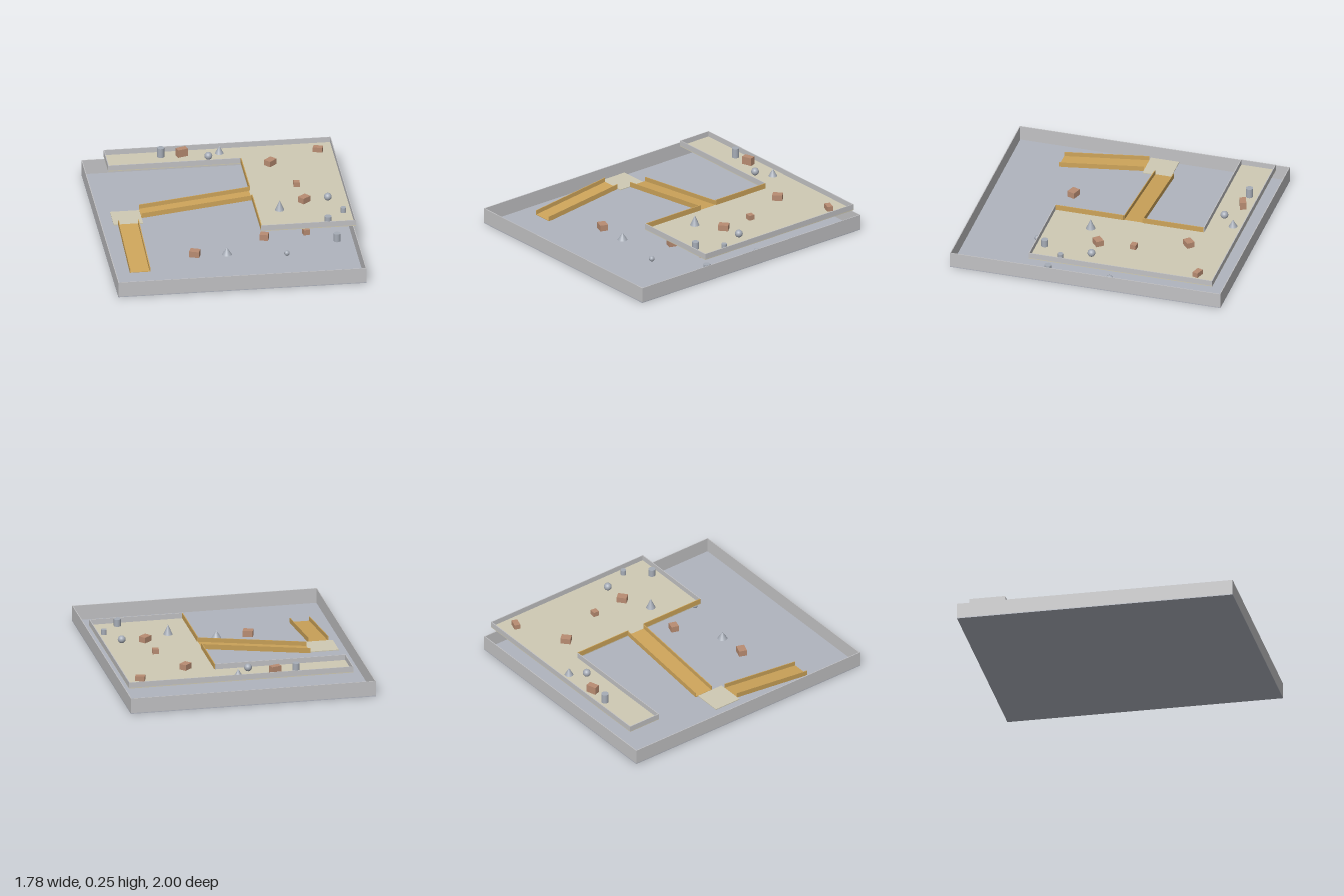
import * as THREE from 'three';

const mat = (name, color) => {
  const m = new THREE.MeshStandardMaterial({ color });
  m.name = name;
  return m;
};

export function createModel() {
  const root = new THREE.Group();
  root.name = 'twoLevelArena';

  const floorMat = mat('blueGreyFloor', 0xb0b4be);
  const wallMat = mat('greyWall', 0xc2c2c4);
  const deckMat = mat('beigeDeck', 0xcfcab4);
  const woodMat = mat('wood', 0xcda45a);
  const crateMat = mat('brownCrate', 0xb88c72);
  const stoneMat = mat('greyStone', 0xa6acb6);

  const T = 0.006; // sheet and wall thickness

  const add = (parent, name, geo, material, x, y, z) => {
    const mesh = new THREE.Mesh(geo, material);
    mesh.name = name;
    mesh.position.set(x, y, z);
    parent.add(mesh);
    return mesh;
  };
  // Box given by its limits on each axis
  const block = (parent, name, material, x0, x1, y0, y1, z0, z1) =>
    add(parent, name, new THREE.BoxGeometry(x1 - x0, y1 - y0, z1 - z0), material,
      (x0 + x1) / 2, (y0 + y1) / 2, (z0 + z1) / 2);

  // Lower tray
  const tray = new THREE.Group();
  tray.name = 'lowerTray';
  root.add(tray);
  block(tray, 'trayFloor', floorMat, -0.89, 0.89, 0, T, -1, 1);
  for (const s of [-1, 1]) {
    const x = s * (0.89 - T / 2), z = s * (1 - T / 2);
    block(tray, 'traySideWall', wallMat, x - T / 2, x + T / 2, T, 0.115, -1, 1);
    block(tray, 'trayEndWall', wallMat, -0.89 + T, 0.89 - T, T, 0.115, z - T / 2, z + T / 2);
  }

  // Upper L-shaped deck
  const deck = new THREE.Group();
  deck.name = 'upperDeck';
  root.add(deck);
  const D0 = 0.17, D1 = D0 + T, D2 = 0.215;
  const outline = [[-0.74, -0.94], [0.89, -0.94], [0.89, 0.42], [0.21, 0.42], [0.21, -0.68], [-0.74, -0.68]];
  const shape = new THREE.Shape(outline.map(([x, z]) => new THREE.Vector2(x, -z)));
  const slab = new THREE.ExtrudeGeometry(shape, { depth: T, bevelEnabled: false });
  slab.rotateX(-Math.PI / 2);
  add(deck, 'deckFloor', slab, deckMat, 0, D0, 0);
  block(deck, 'deckBackWall', wallMat, -0.74, 0.89, D1, D2, -0.94, -0.94 + T);
  block(deck, 'deckLeftWall', wallMat, 0.89 - T, 0.89, D1, D2, -0.94 + T, 0.42);
  block(deck, 'deckFrontWall', wallMat, 0.21, 0.89 - T, D1, D2, 0.42 - T, 0.42);
  block(deck, 'deckRightWall', wallMat, -0.74, -0.74 + T, D1, D2, -0.94 + T, -0.68);
  block(deck, 'deckArmWall', wallMat, -0.74 + T, 0.21, D1, D2, -0.68 - T, -0.68);
  // Wooden walls either side of the ramp opening
  block(deck, 'openingWall', woodMat, 0.21, 0.21 + T, D1, D2, -0.68, -0.23);
  block(deck, 'openingWall', woodMat, 0.21, 0.21 + T, D1, D2, -0.09, 0.42 - T);

  // Landing between the ramps
  block(root, 'landing', deckMat, -0.79, -0.58, 0.077, 0.083, -0.21, 0);

  // Ramp with low side walls; slopes up along its own +x
  const ramp = (name, run, yLow, yHigh, width) => {
    const g = new THREE.Group();
    g.name = name;
    const section = (h) => {
      const s = new THREE.Shape();
      s.moveTo(0, yLow);
      s.lineTo(run, yHigh);
      s.lineTo(run, yHigh + h);
      s.lineTo(0, yLow + h);
      return s;
    };
    const rib = (n, h, depth, z) =>
      add(g, n, new THREE.ExtrudeGeometry(section(h), { depth, bevelEnabled: false }), woodMat, 0, 0, z);
    rib('rampFloor', T, width - 2 * T, -width / 2 + T);
    rib('rampWall', 0.037, T, -width / 2);
    rib('rampWall', 0.037, T, width / 2 - T);
    root.add(g);
    return g;
  };
  ramp('upperRamp', 0.79, 0.079, D0, 0.145).position.set(-0.58, 0, -0.16);
  const lower = ramp('lowerRamp', 0.63, 0.003, 0.077, 0.147);
  lower.position.set(-0.685, 0, 0.63);
  lower.rotation.y = Math.PI / 2;

  // Loose obstacles
  const obstacles = new THREE.Group();
  obstacles.name = 'obstacles';
  root.add(obstacles);

  // Crates: x, base y, z, width, height, depth, turn
  for (const [x, y, z, w, h, d, turn] of [
    [-0.19, D1, -0.855, 0.075, 0.058, 0.045, 0.32],
    [0.78, D1, -0.80, 0.068, 0.036, 0.042, -0.32],
    [0.415, D1, -0.63, 0.072, 0.042, 0.056, 0.75],
    [0.555, D1, -0.265, 0.045, 0.036, 0.043, -0.1],
    [0.575, D1, -0.005, 0.072, 0.042, 0.056, 0.7],
    [-0.265, T, 0.42, 0.072, 0.045, 0.058, -0.35],
    [0.26, T, 0.215, 0.06, 0.045, 0.055, -0.3],
    [0.565, T, 0.17, 0.045, 0.04, 0.045, 0.2],
  ]) {
    add(obstacles, 'crate', new THREE.BoxGeometry(w, h, d), crateMat, x, y + h / 2, z).rotation.y = turn;
  }

  // Posts: x, base y, z, radius, height
  for (const [x, y, z, r, h] of [
    [-0.34, D1, -0.86, 0.026, 0.07],
    [0.70, D1, 0.355, 0.025, 0.052],
    [0.83, D1, 0.20, 0.02, 0.038],
    [0.77, T, 0.31, 0.025, 0.06],
  ]) {
    add(obstacles, 'post', new THREE.CylinderGeometry(r, r, h, 24), stoneMat, x, y + h / 2, z);
  }

  // Cones: x, base y, z, radius, height
  for (const [x, y, z, r, h] of [
    [0.08, D1, -0.86, 0.031, 0.056],
    [0.385, D1, 0.105, 0.033, 0.075],
    [-0.035, T, 0.425, 0.035, 0.055],
  ]) {
    add(obstacles, 'cone', new THREE.ConeGeometry(r, h, 24), stoneMat, x, y + h / 2, z);
  }

  // Balls: x, base y, z, radius
  for (const [x, y, z, r] of [
    [-0.01, D1, -0.77, 0.028],
    [0.745, D1, -0.005, 0.028],
    [0.385, T, 0.50, 0.02],
    [0.777, T, -0.148, 0.027],
  ]) {
    add(obstacles, 'ball', new THREE.SphereGeometry(r, 24, 16), stoneMat, x, y + r, z);
  }

  return root;
}
